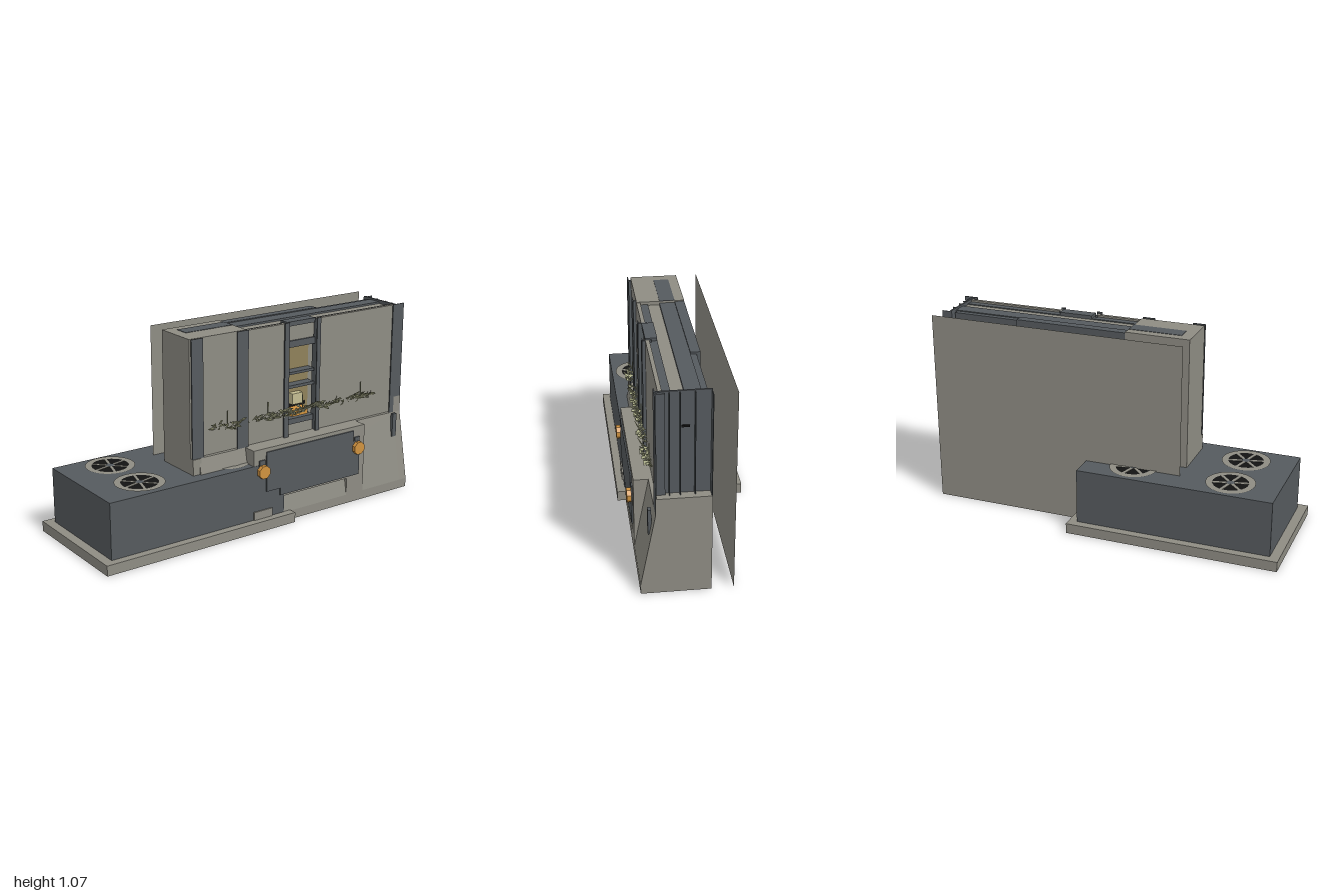
import * as THREE from 'three';

const mat = (name, color) => {
  const m = new THREE.MeshStandardMaterial({ color, side: THREE.DoubleSide });
  m.name = name;
  return m;
};

export function createModel() {
  const model = new THREE.Group();
  const concrete = mat('concrete', 0x8e8c83);
  const steel = mat('dark steel', 0x555a5e);
  const gold = mat('dull gold', 0x8f815a);
  const orange = mat('lamp orange', 0xd0923f);
  const leaf = mat('pale leaf', 0xa9ab86);
  const cream = mat('cream', 0xc4bd92);
  const black = mat('black', 0x131313);

  const add = (name, geo, material, parent = model) => {
    const mesh = new THREE.Mesh(geo, material);
    mesh.name = name;
    parent.add(mesh);
    return mesh;
  };
  // Box given by its limits on each axis
  const box = (name, x0, x1, y0, y1, z0, z1, material, parent = model) => {
    const mesh = add(name, new THREE.BoxGeometry(x1 - x0, y1 - y0, z1 - z0), material, parent);
    mesh.position.set((x0 + x1) / 2, (y0 + y1) / 2, (z0 + z1) / 2);
    return mesh;
  };
  const polygon = (pts) => new THREE.Shape(pts.map(([x, y]) => new THREE.Vector2(x, y)));
  const extrude = (shape, depth) => new THREE.ExtrudeGeometry(shape, { depth, bevelEnabled: false });
  // Side section (z, y) swept along x
  const sweepX = (name, pts, x0, x1, material) => {
    const geo = extrude(polygon(pts.map(([z, y]) => [-z, y])), x1 - x0);
    geo.rotateY(Math.PI / 2);
    geo.translate(x0, 0, 0);
    return add(name, geo, material);
  };

  // Equipment plinth: hollow underneath, with ribs
  box('plinthTop', -1, 0.155, 0.035, 0.055, -0.34, 0.34, concrete);
  const ring = (name, x0, x1, z0, z1, w) => {
    const s = polygon([[x0, z0], [x1, z0], [x1, z1], [x0, z1]]);
    s.holes.push(new THREE.Path([[x0 + w, z0 + w], [x0 + w, z1 - w], [x1 - w, z1 - w], [x1 - w, z0 + w]]
      .map(([x, z]) => new THREE.Vector2(x, z))));
    const geo = extrude(s, 0.035);
    geo.rotateX(Math.PI / 2);
    geo.translate(0, 0.035, 0);
    add(name, geo, concrete);
  };
  ring('plinthRim', -1, 0.155, -0.34, 0.34, 0.015);
  ring('plinthInnerRim', -0.9, 0.06, -0.24, 0.24, 0.03);
  for (const x of [-0.62, -0.25]) box('plinthRib', x - 0.02, x + 0.02, 0, 0.035, -0.21, 0.21, concrete);

  // Ventilation unit with four fans
  box('ventilationUnit', -0.95, 0.11, 0.055, 0.355, -0.295, 0.297, steel);
  for (const x of [-0.69, -0.16]) for (const z of [-0.15, 0.145]) {
    const fan = new THREE.Group();
    fan.name = 'fan';
    fan.position.set(x, 0.356, z);
    model.add(fan);
    const flat = (name, geo, material, y) => {
      geo.rotateX(-Math.PI / 2);
      add(name, geo, material, fan).position.y = y;
    };
    flat('fanOpening', new THREE.CircleGeometry(0.11, 32), black, 0.001);
    flat('fanRing', new THREE.RingGeometry(0.095, 0.13, 32), concrete, 0.004);
    flat('fanHub', new THREE.CircleGeometry(0.022, 16), steel, 0.005);
    for (let i = 0; i < 6; i++) {
      const blade = box('fanBlade', 0.015, 0.097, 0.002, 0.004, -0.008, 0.008, concrete, fan);
      const a = i * Math.PI / 3 + 0.25;
      blade.position.set(Math.cos(a) * 0.056, 0.003, -Math.sin(a) * 0.056);
      blade.rotation.y = a;
    }
  }

  // Sloped concrete footing and its end block
  sweepX('slopedFooting', [[0.06, 0], [0.295, 0], [0.295, 0.05], [0.22, 0.44], [0.06, 0.44]], -0.38, 0.95, concrete);
  sweepX('endBlock', [[-0.05, 0], [0.295, 0], [0.295, 0.05], [0.22, 0.44], [0.22, 0.53], [-0.05, 0.53]], 0.95, 1, concrete);
  box('footingStub', -0.42, -0.37, 0.355, 0.44, 0.1, 0.225, concrete);

  // Front buttress with a low opening
  const buttress = extrude(polygon([[-0.09, 0], [0.105, 0], [0.105, 0.147], [0.55, 0.147], [0.55, 0],
    [0.67, 0], [0.67, 0.44], [-0.09, 0.44]]), 0.095);
  buttress.translate(0, 0, 0.2);
  add('frontButtress', buttress, concrete);
  box('frontKerb', -0.09, 0.03, 0.055, 0.1, 0.295, 0.304, concrete);

  // Front cover plate
  const plate = extrude(polygon([[0.08, 0.16], [0.63, 0.16], [0.63, 0.36], [0.585, 0.36], [0.585, 0.42],
    [-0.01, 0.42], [-0.01, 0.2], [0.08, 0.2]]), 0.008);
  plate.translate(0, 0, 0.296);
  add('coverPlate', plate, steel);

  // Lamps on brackets
  for (const x of [-0.038, 0.612]) {
    const lamp = new THREE.CylinderGeometry(0.037, 0.037, 0.023, 8);
    lamp.rotateY(Math.PI / 8);
    lamp.rotateX(Math.PI / 2);
    const mesh = add('lamp', lamp.toNonIndexed(), orange);
    mesh.geometry.computeVertexNormals();
    mesh.position.set(x, 0.32, 0.314);
    box('lampBracket', x - 0.018, x + 0.018, 0.32, 0.38, 0.295, 0.303, steel);
  }

  // Tower at the right end of the wall
  box('tower', -0.42, -0.07, 0.355, 1.065, -0.05, 0.2, concrete);
  box('towerSlot', -0.36, -0.07, 1.064, 1.067, 0, 0.08, steel);

  // Layered wall
  box('steelCore', -0.07, 0.94, 0.44, 1.055, 0, 0.08, steel);
  box('concreteCore', -0.07, 0.94, 0.44, 1.045, 0.08, 0.14, concrete);
  box('backRail', -0.07, 0.55, 0.95, 1.06, -0.05, 0, steel);
  box('backRailEnd', 0.55, 0.93, 0.95, 1.05, -0.03, 0, steel);
  box('backStrip', 0.15, 0.55, 0.68, 0.91, -0.054, -0.045, steel);
  box('topRail', -0.07, 0.94, 1.03, 1.05, 0.14, 0.18, steel);
  for (const [a, b] of [[-0.07, 0.18], [0.39, 0.94]])
    box('frontPanel', a, b, 0.4, 1.06, 0.18, 0.2, concrete);
  box('innerBackPanel', 0.03, 0.55, 0, 0.68, -0.045, -0.04, gold);

  // Freestanding rear sheet
  const sheet = add('rearSheet', new THREE.PlaneGeometry(1.42, 1.065), concrete);
  sheet.position.set(0.29, 0.5325, -0.16);

  // Columns: front flange with a web behind
  for (const [a, b, y] of [[-0.42, -0.35, 0.44], [-0.14, -0.07, 0.39], [0.165, 0.195, 0.44],
    [0.38, 0.405, 0.44], [0.92, 0.998, 0.44]]) {
    box('columnFlange', a, b, y, 1.067, 0.214, 0.22, steel);
    box('columnWeb', (a + b) / 2 - 0.006, (a + b) / 2 + 0.006, y, 1.06, 0.17, 0.215, steel);
  }
  box('columnFoot', 0.92, 0.948, 0.305, 0.44, 0.235, 0.252, steel);

  // Open channel sections at the left end
  box('endWeb', 0.94, 0.95, 0.44, 1.065, -0.05, 0.215, steel);
  for (const z of [-0.047, 0.03, 0.1, 0.15])
    box('endFlange', 0.95, z < 0 ? 0.998 : 0.975, 0.5, 1.06, z - 0.002, z + 0.002, steel);
  box('endSlot', 0.95, 0.956, 0.88, 0.89, 0.055, 0.093, black);

  // Window bay
  box('windowBack', 0.195, 0.38, 0.53, 0.93, 0.14, 0.146, gold);
  box('windowHead', 0.195, 0.38, 0.96, 1.04, 0.14, 0.19, concrete);
  box('windowSill', 0.195, 0.38, 0.44, 0.5, 0.14, 0.19, concrete);
  for (const [y, h] of [[1.053, 0.024], [0.943, 0.036], [0.783, 0.014], [0.708, 0.016], [0.515, 0.03]])
    box('windowBar', 0.195, 0.38, y - h / 2, y + h / 2, 0.14, 0.2, steel);
  box('windowBox', 0.25, 0.32, 0.6, 0.66, 0.146, 0.18, cream);
  box('windowTray', 0.23, 0.335, 0.543, 0.58, 0.146, 0.205, orange);
  box('windowGap', 0.215, 0.36, 0.58, 0.598, 0.146, 0.152, black);

  // Trailing plant: thin pointed leaves in loose clumps
  let seed = 7;
  const rnd = () => (seed = (seed * 16807) % 2147483647) / 2147483647;
  const verts = [];
  for (const [a, b, n] of [[-0.27, -0.13, 24], [-0.06, 0.18, 38], [0.18, 0.42, 42], [0.42, 0.78, 56]]) {
    for (let i = 0; i < n; i++) {
      const x = a + (b - a) * rnd(), y = 0.585 + (rnd() - 0.5) * 0.03, z = 0.205 + rnd() * 0.025;
      const dx = (rnd() - 0.5) * 0.12, dy = (rnd() - 0.4) * 0.04, dz = 0.01 + rnd() * 0.03;
      verts.push(x, y - 0.006, z, x + dx * 0.5, y + dy * 0.5 + 0.012, z + dz, x + dx, y + dy, z + dz);
      verts.push(x, y - 0.006, z, x + dx, y + dy, z + dz, x + dx * 0.5, y + dy * 0.5 - 0.007, z + dz * 0.7);
    }
  }
  const leaves = new THREE.BufferGeometry();
  leaves.setAttribute('position', new THREE.Float32BufferAttribute(verts, 3));
  leaves.computeVertexNormals();
  add('trailingLeaves', leaves, leaf);
  for (const x of [-0.2, 0.06, 0.29, 0.7]) box('plantStem', x - 0.002, x + 0.002, 0.59, 0.66, 0.215, 0.219, leaf);

  return model;
}
